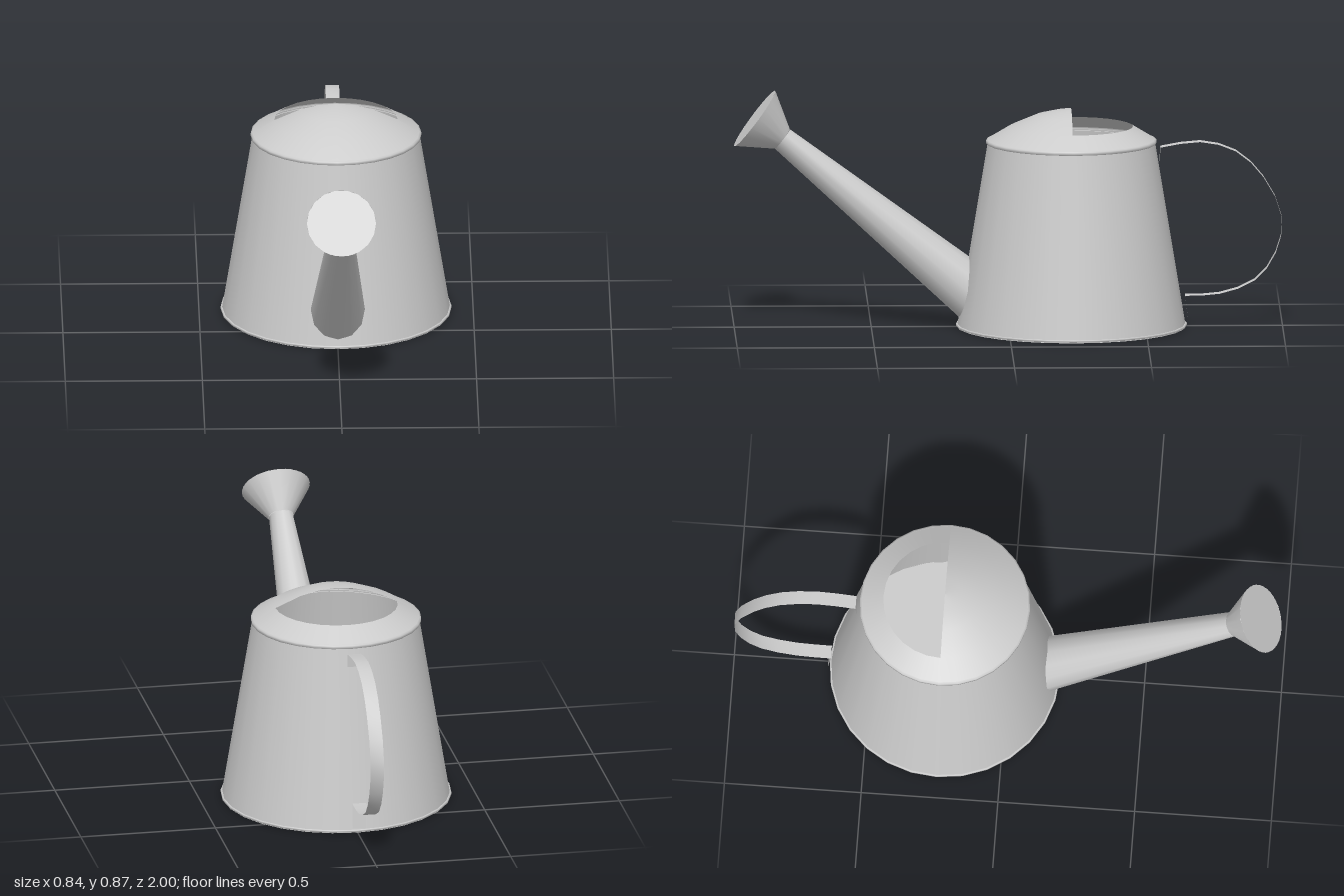
import * as THREE from 'three';

const SEG = 28;
const CZ = -0.23; // body axis
const mat = new THREE.MeshStandardMaterial({ color: 0xcccccc, side: THREE.DoubleSide });

const bodyRadius = (y) => 0.417 - 0.112 * (y / 0.68);

function add(parent, name, geometry) {
  const mesh = new THREE.Mesh(geometry, mat);
  mesh.name = name;
  parent.add(mesh);
  return mesh;
}

function lathe(parent, name, profile, start = 0, sweep = Math.PI * 2) {
  const pts = profile.map(([r, y]) => new THREE.Vector2(r, y));
  const segs = Math.round(SEG * sweep / (Math.PI * 2));
  return add(parent, name, new THREE.LatheGeometry(pts, segs, start, sweep));
}

// Tapered tube between two points given as (y, z) in the x = 0 plane
function taper(a, b, ra, rb, sides) {
  const from = new THREE.Vector3(0, ...a), to = new THREE.Vector3(0, ...b);
  const dir = to.clone().sub(from);
  const geo = new THREE.CylinderGeometry(rb, ra, dir.length(), sides, 1, true);
  geo.applyQuaternion(new THREE.Quaternion().setFromUnitVectors(
    new THREE.Vector3(0, 1, 0), dir.clone().normalize()));
  const mid = from.add(to).multiplyScalar(0.5);
  return geo.translate(mid.x, mid.y, mid.z);
}

// Flat strap: a zero-thickness band following (y, z) points
function strap(points, width, x) {
  const geo = new THREE.PlaneGeometry(width, 1, 1, points.length - 1);
  const pos = geo.attributes.position;
  points.forEach(([y, z], i) => {
    for (let k = 0; k < 2; k++) pos.setXYZ(i * 2 + k, x + (k - 0.5) * width, y, z);
  });
  geo.computeVertexNormals();
  return geo;
}

export function createModel() {
  const model = new THREE.Group();
  model.name = 'wateringCan';

  // Body, floor and lips
  const body = new THREE.Group();
  body.name = 'body';
  body.position.z = CZ;
  model.add(body);
  lathe(body, 'wall', [[bodyRadius(0), 0], [bodyRadius(0.68), 0.68]]);
  lathe(body, 'baseLip', [[0.415, 0.003], [0.421, 0.003], [0.421, 0.011], [0.415, 0.011]]);
  lathe(body, 'topLip', [[0.303, 0.674], [0.311, 0.676], [0.311, 0.687], [0.303, 0.69]]);
  add(body, 'floor', new THREE.CircleGeometry(0.42, SEG).rotateX(Math.PI / 2)).position.y = 0.002;

  // Lid: full dome over the front half, open cut-away over the back half
  lathe(body, 'frontDome',
    [[0.307, 0.687], [0.225, 0.737], [0.13, 0.778], [0.06, 0.795], [0.0001, 0.8]], -Math.PI / 2, Math.PI);
  lathe(body, 'backDome', [[0.307, 0.687], [0.225, 0.737]], Math.PI / 2, Math.PI);

  // Spout, its lower ring slid along the tube until it meets the body wall
  const spoutGeo = taper([0.15, 0.16], [0.695, 0.825], 0.098, 0.045, 12);
  const pos = spoutGeo.attributes.position, half = pos.count / 2;
  const top = new THREE.Vector3(), low = new THREE.Vector3(), p = new THREE.Vector3();
  for (let i = 0; i < half; i++) {
    top.fromBufferAttribute(pos, i);
    low.fromBufferAttribute(pos, i + half);
    for (let t = 0; t < 1.4; t += 0.005) {
      p.lerpVectors(top, low, t);
      if (Math.hypot(p.x, p.z - CZ) < bodyRadius(p.y)) break;
    }
    pos.setXYZ(i + half, p.x, p.y, p.z);
  }
  spoutGeo.computeVertexNormals();
  add(model, 'spout', spoutGeo);

  // Sprinkler head: flared cone with a flat face
  const rose = new THREE.Group();
  rose.name = 'sprinklerHead';
  model.add(rose);
  add(rose, 'flare', taper([0.695, 0.825], [0.77, 0.925], 0.046, 0.126, 18));
  const face = add(rose, 'face', new THREE.CircleGeometry(0.126, 18));
  face.position.set(0, 0.77, 0.925);
  face.rotation.x = -Math.atan2(0.075, 0.1);

  // Handle strap with a short tab against the wall at each end
  const arc = new THREE.CatmullRomCurve3([
    [0.66, -0.555], [0.68, -0.7], [0.645, -0.83], [0.55, -0.93], [0.4, -0.998],
    [0.27, -0.975], [0.17, -0.9], [0.12, -0.77], [0.113, -0.645],
  ].map(([y, z]) => new THREE.Vector3(0, y, z))).getPoints(16).map((v) => [v.y, v.z]);
  const handle = new THREE.Group();
  handle.name = 'handle';
  model.add(handle);
  add(handle, 'grip', strap(arc, 0.05, -0.005));
  add(handle, 'upperTab', strap([[0.66, -0.555], [0.61, -0.552]], 0.05, -0.005));
  add(handle, 'lowerTab', strap([[0.113, -0.645], [0.02, -0.656]], 0.05, -0.005));

  return model;
}
